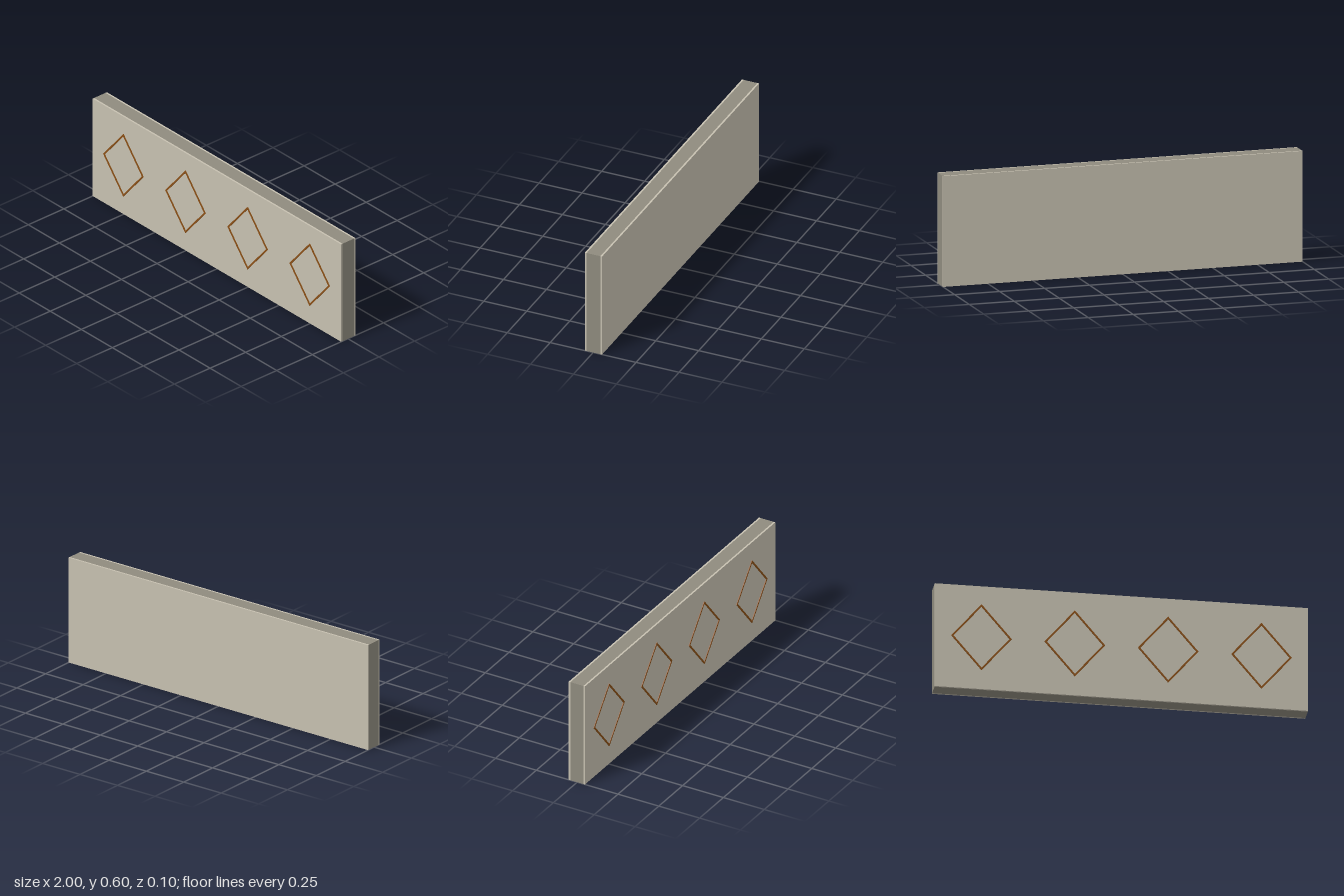
import * as THREE from 'three';

const core = new THREE.MeshStandardMaterial({ name: 'dark stone', color: 0x8f8b7e });
const skin = new THREE.MeshStandardMaterial({ name: 'pale stone', color: 0xc6c0b0 });
const trim = new THREE.MeshStandardMaterial({ name: 'brown trim', color: 0x8b5016 });

const W = 2, H = 0.6;

// Upright slab between two z positions
function slab(name, z0, z1, material) {
  const mesh = new THREE.Mesh(new THREE.BoxGeometry(W, H, z1 - z0), material);
  mesh.name = name;
  mesh.position.set(0, H / 2, (z0 + z1) / 2);
  return mesh;
}

const diamond = (PathType, rx, ry) => new PathType([[rx, 0], [0, ry], [-rx, 0], [0, -ry]]
  .map(([x, y]) => new THREE.Vector2(x, y)));

export function createModel() {
  const group = new THREE.Group();
  group.name = 'wallPanel';

  // Core sandwiched between two thin facing sheets
  group.add(
    slab('core', -0.042, 0.038, core),
    slab('frontSheet', 0.038, 0.048, skin),
    slab('backSheet', -0.052, -0.042, skin),
  );

  // Row of thin diamond outlines on the front
  const outline = diamond(THREE.Shape, 0.162, 0.192);
  outline.holes.push(diamond(THREE.Path, 0.15, 0.178));
  const geometry = new THREE.ExtrudeGeometry(outline, { depth: 0.004, bevelEnabled: false });
  for (const x of [-0.75, -0.25, 0.25, 0.75]) {
    const mesh = new THREE.Mesh(geometry, trim);
    mesh.name = 'diamondOutline';
    mesh.position.set(x, 0.302, 0.048);
    group.add(mesh);
  }
  return group;
}
